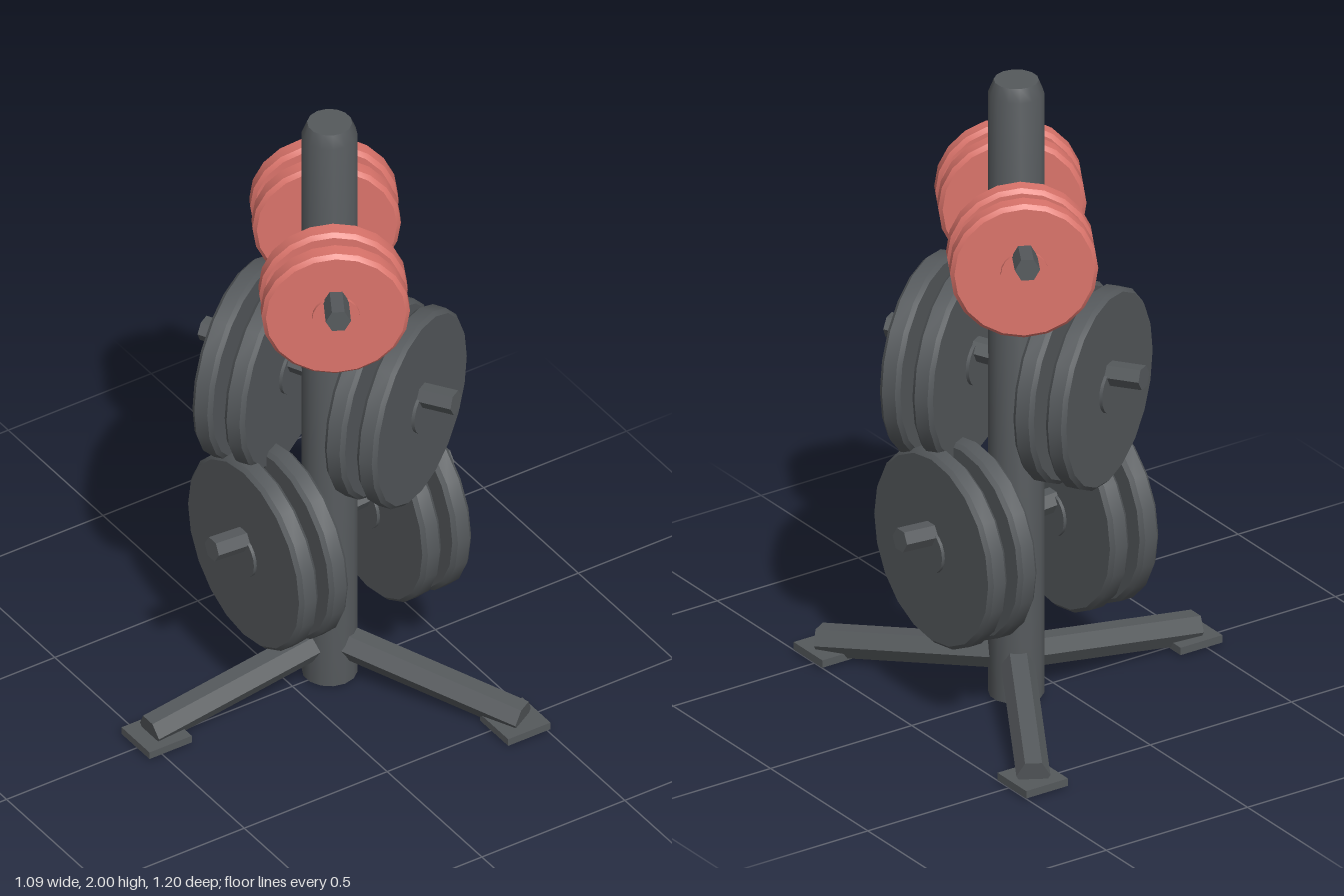
import * as THREE from 'three';
import { toCreasedNormals } from 'three/addons/utils/BufferGeometryUtils.js';

const steel = new THREE.MeshStandardMaterial({ color: 0x55595c });
steel.name = 'dark grey steel';
const red = new THREE.MeshStandardMaterial({ color: 0xdb746b });
red.name = 'soft red';

function part(parent, name, geometry, material) {
  const mesh = new THREE.Mesh(geometry, material);
  mesh.name = name;
  parent.add(mesh);
  return mesh;
}

// Turned solid from [radius, height] pairs, listed upwards
function turned(profile, sides) {
  const points = profile.map(([r, y]) => new THREE.Vector2(r, y));
  return toCreasedNormals(new THREE.LatheGeometry(points, sides), 0.6);
}

// Hexagonal rod in the local xy plane, running outwards from the post
function hexRod(radius, x0, y0, x1, y1) {
  const length = Math.hypot(x1 - x0, y1 - y0);
  const geometry = toCreasedNormals(new THREE.CylinderGeometry(radius, radius, length, 6), 0.6);
  geometry.rotateZ(Math.atan2(y1 - y0, x1 - x0) - Math.PI / 2);
  return geometry.translate((x0 + x1) / 2, (y0 + y1) / 2, 0);
}

// Weight plate with bevelled rim and raised hub, axis along x
function plateGeometry(radius) {
  const half = 0.033, hub = 0.07, bevel = 0.012, raised = half + 0.01;
  return turned([
    [0, -raised], [hub, -raised], [hub, -half], [radius - bevel, -half],
    [radius, -half + bevel], [radius, half - bevel],
    [radius - bevel, half], [hub, half], [hub, raised], [0, raised],
  ], 20).rotateZ(-Math.PI / 2);
}

export function createModel() {
  const model = new THREE.Group();
  model.name = 'weightPlateTree';
  const rack = new THREE.Group();
  rack.name = 'rack';
  rack.position.x = 0.13;
  model.add(rack);

  // Central post with chamfered top
  part(rack, 'post', turned([[0, 0.01], [0.082, 0.01], [0.082, 1.96], [0.066, 2], [0, 2]], 14), steel);

  // Three sloping legs on square feet
  for (let i = 0; i < 3; i++) {
    const angle = Math.PI + (i * Math.PI * 2) / 3;
    const leg = part(rack, 'leg', hexRod(0.05, 0, 0.14, 0.63, 0.046), steel);
    leg.rotation.y = angle;
    const foot = part(rack, 'foot', new THREE.BoxGeometry(0.148, 0.024, 0.148), steel);
    foot.position.set(Math.cos(angle) * 0.605, 0.022, -Math.sin(angle) * 0.605);
  }

  // Three tiers of opposed pegs, each peg holding two plates
  const tiers = [
    { name: 'lowerTier', angle: 0, y: 0.555, radius: 0.305, material: steel },
    { name: 'middleTier', angle: -Math.PI / 3, y: 1.055, radius: 0.305, material: steel },
    { name: 'upperTier', angle: Math.PI / 3, y: 1.52, radius: 0.217, material: red },
  ];
  for (const { name, angle, y, radius, material } of tiers) {
    const plate = plateGeometry(radius);
    for (const turn of [0, Math.PI]) {
      const side = new THREE.Group();
      side.name = name;
      side.position.y = y;
      side.rotation.y = angle + turn;
      rack.add(side);
      part(side, 'peg', hexRod(0.037, 0, 0.035, 0.412, 0.062), steel);
      for (const x of [0.163, 0.268]) {
        part(side, 'plate', plate, material).position.x = x;
      }
    }
  }
  return model;
}
